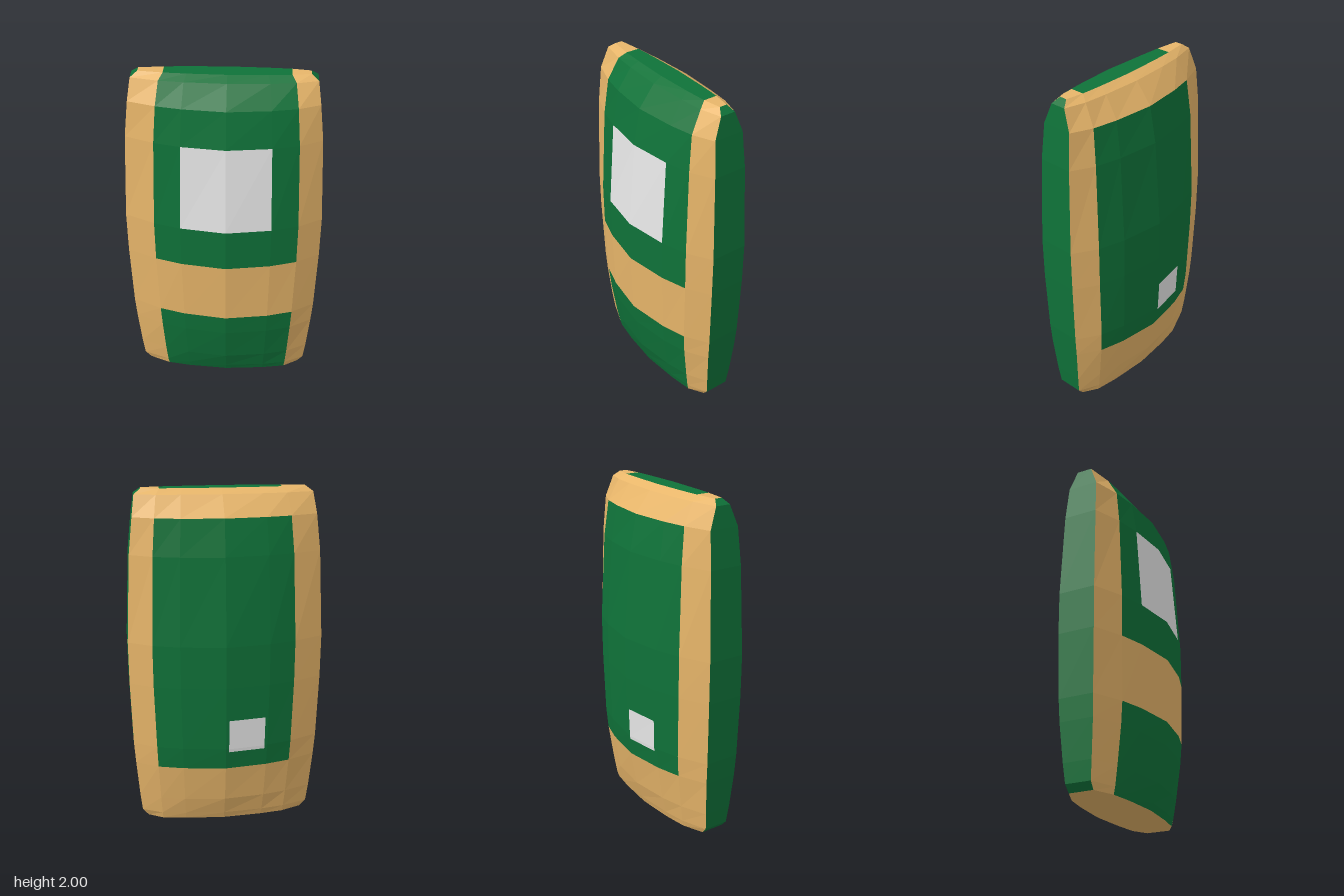
import * as THREE from 'three';

// Rings of the padded body: y, half width, side z, seam z, centre z, seam spread
const RINGS = [
  [0, 0.475, 0.072, 0.125, 0.165, 0.89],
  [0.04, 0.51, 0.075, 0.135, 0.18, 0.9],
  [0.15, 0.523, 0.085, 0.152, 0.217, 0.92],
  [0.37, 0.543, 0.1, 0.18, 0.257, 0.95],
  [0.5, 0.553, 0.104, 0.19, 0.272, 0.965],
  [0.88, 0.567, 0.11, 0.195, 0.285, 0.995],
  [1.13, 0.57, 0.11, 0.195, 0.285, 1],
  [1.64, 0.548, 0.1, 0.17, 0.241, 0.965],
  [1.85, 0.526, 0.09, 0.145, 0.2, 0.93],
  [1.97, 0.51, 0.045, 0.08, 0.105, 0.895],
  [2, 0.47, 0.022, 0.04, 0.055, 0.84],
];
const LAST = RINGS.length - 1;

// Seven points across one face of a ring; side is +1 for front, -1 for back
function row([y, w, ze, z1, zc, k], side) {
  const z2 = z1 + 0.55 * (zc - z1), mid = 0.018;
  return [
    [-w, ze], [mid - 0.415 * k, z1], [mid - 0.26 * k, z2], [mid, zc],
    [mid + 0.26 * k, z2], [mid + 0.415 * k, z1], [w, ze],
  ].map(([x, z]) => new THREE.Vector3(x, y, z * side));
}

// Ring interpolated at any height
function ringAt(y) {
  const i = Math.max(1, RINGS.findIndex((r) => r[0] >= y));
  const a = RINGS[i - 1], b = RINGS[i], t = (y - a[0]) / (b[0] - a[0]);
  return a.map((v, j) => v + (b[j] - v) * t);
}

export function createModel() {
  const group = new THREE.Group();
  const material = (name, color) => {
    const m = new THREE.MeshStandardMaterial({ color, flatShading: true });
    m.name = name;
    return m;
  };
  const tan = material('tan', 0xe8b66a);
  const green = material('green', 0x0f7239);
  const white = material('label white', 0xf0f0f0);

  const front = RINGS.map((r) => row(r, 1));
  const back = RINGS.map((r) => row(r, -1));

  // Collect quads by part name
  const parts = new Map();
  const quad = (name, mat, a, b, c, d) => {
    if (!parts.has(name)) parts.set(name, { mat, points: [] });
    parts.get(name).points.push(a, b, c, a, c, d);
  };

  for (let r = 0; r < LAST; r++) {
    const n = r + 1;
    for (let c = 0; c < 6; c++) {
      const inner = c > 0 && c < 5;
      // Front: two green panels, a tan band between, and the label
      let name = 'frontTrim', mat = tan;
      if (inner && r < 4) [name, mat] = ['frontLowerPanel', green];
      if (inner && r > 4) [name, mat] = ['frontUpperPanel', green];
      if (r === 6 && (c === 2 || c === 3)) [name, mat] = ['frontLabel', white];
      quad(name, mat, front[r][c], front[r][c + 1], front[n][c + 1], front[n][c]);

      // Back: one large green panel in a tan frame
      const panel = inner && r >= 3 && r < 8;
      quad(panel ? 'backPanel' : 'backTrim', panel ? green : tan,
        back[r][c + 1], back[r][c], back[n][c], back[n][c + 1]);
    }
    // Sides
    quad('leftSide', green, front[r][6], back[r][6], back[n][6], front[n][6]);
    quad('rightSide', green, back[r][0], front[r][0], front[n][0], back[n][0]);
  }

  // Top and bottom ends
  for (let c = 0; c < 6; c++) {
    const inner = c > 0 && c < 5, f = front[LAST], b = back[LAST];
    quad(inner ? 'topPanel' : 'topTrim', inner ? green : tan, f[c], f[c + 1], b[c + 1], b[c]);
    quad('bottom', tan, back[0][c], back[0][c + 1], front[0][c + 1], front[0][c]);
  }

  // Small label lying just over the back panel
  const strips = [0.48, 0.5, 0.68].map((y) => {
    const p = row(ringAt(y), -1);
    return [0.07, 0.93].map((t) => {
      const v = p[2].clone().lerp(p[3], t);
      v.z -= 0.004;
      return v;
    });
  });
  for (let i = 0; i < 2; i++) {
    const [a, b] = [strips[i], strips[i + 1]];
    quad('backLabel', white, a[1], a[0], b[0], b[1]);
  }

  for (const [name, { mat, points }] of parts) {
    const geometry = new THREE.BufferGeometry().setFromPoints(points);
    geometry.computeVertexNormals();
    const mesh = new THREE.Mesh(geometry, mat);
    mesh.name = name;
    group.add(mesh);
  }
  group.name = 'paddedBag';
  return group;
}
